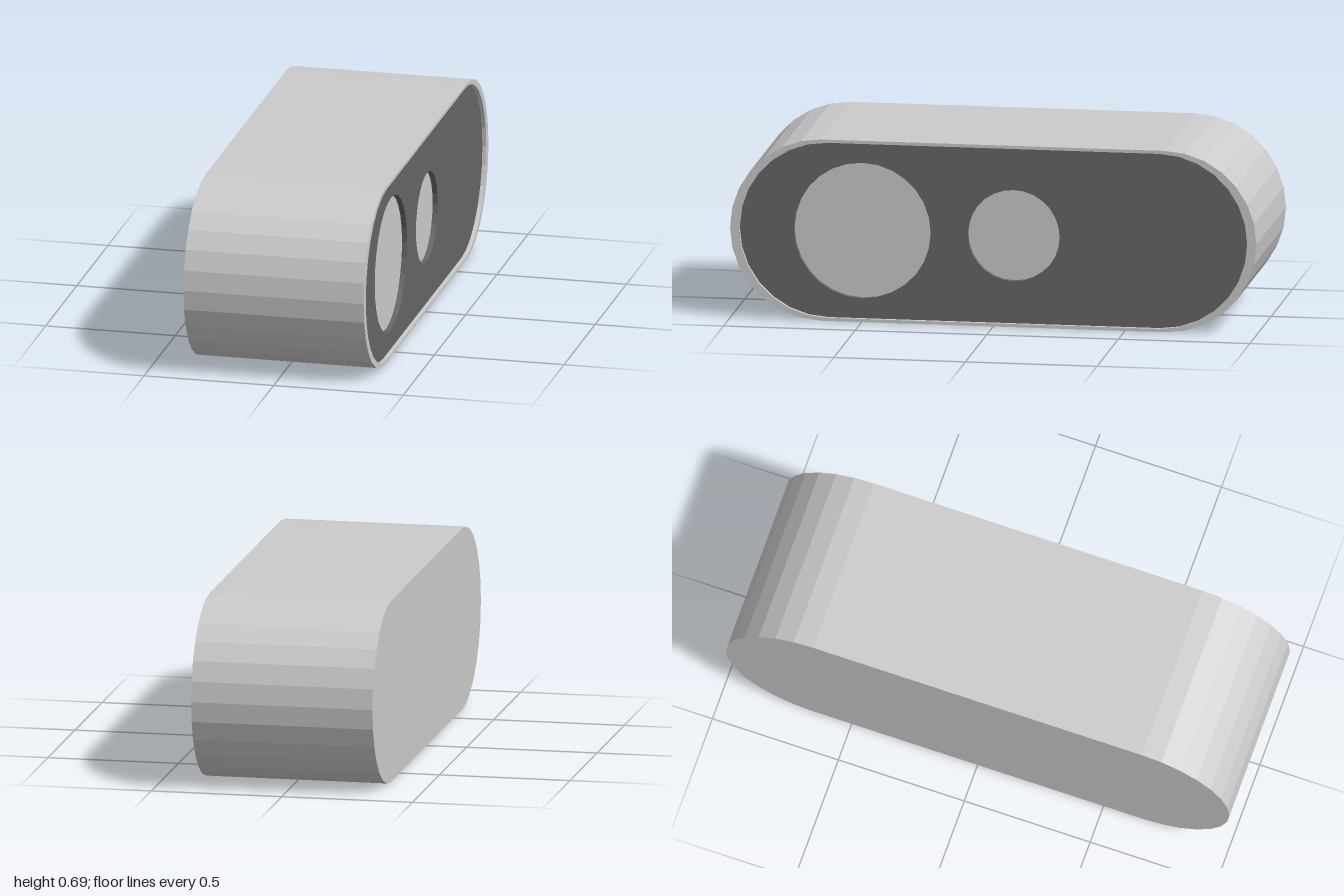
import * as THREE from 'three';

const R = 0.3475;          // half height and half width
const CENTER = 1 - R;      // centre of each rounded end
const RIM_INSET = 0.965;   // scale of the panel outline
const FLOOR = R - 0.035;   // x of the floor inside the openings
const PANEL_TOP = R - 0.015;

// Points along an arc, 28 sides to the full circle
function arc(cx, r, start, sweep) {
  const n = Math.round(28 * sweep / (Math.PI * 2));
  return Array.from({ length: n + 1 }, (_, i) => {
    const a = start + sweep * i / n;
    return new THREE.Vector2(cx + r * Math.cos(a), r * Math.sin(a));
  });
}

// Pill outline with two half-round ends
function pill(scale) {
  return [
    ...arc(CENTER * scale, R * scale, -Math.PI / 2, Math.PI),
    ...arc(-CENTER * scale, R * scale, Math.PI / 2, Math.PI),
  ];
}

// Extrudes an outline with holes sideways, from x0 to x1
function slab(name, outline, holes, x0, x1, material) {
  const shape = new THREE.Shape(outline);
  shape.holes = holes.map((points) => new THREE.Path(points));
  const geometry = new THREE.ExtrudeGeometry(shape, { depth: x1 - x0, bevelEnabled: false });
  geometry.translate(0, 0, x0).rotateY(Math.PI / 2).translate(0, R, 0);
  const mesh = new THREE.Mesh(geometry, material);
  mesh.name = name;
  return mesh;
}

export function createModel() {
  const group = new THREE.Group();
  group.name = 'pillShapedCasing';
  const grey = new THREE.MeshStandardMaterial({ color: 0xcccccc, flatShading: true });
  const dark = new THREE.MeshStandardMaterial({ color: 0x666666, flatShading: true });

  // Round openings: the larger one towards the front
  const openings = [[-0.5, 0.26], [0.075, 0.175]]
    .map(([cx, r]) => arc(cx, r, 0, Math.PI * 2).slice(0, -1));

  group.add(
    // Solid body, whose end forms the floor of the openings
    slab('body', pill(1), [], -R, FLOOR, grey),
    // Thin raised rim around the panel
    slab('rim', pill(1), [pill(RIM_INSET)], FLOOR, R, grey),
    // Recessed dark panel with the two openings
    slab('panel', pill(RIM_INSET), openings, FLOOR, PANEL_TOP, dark),
  );
  return group;
}
